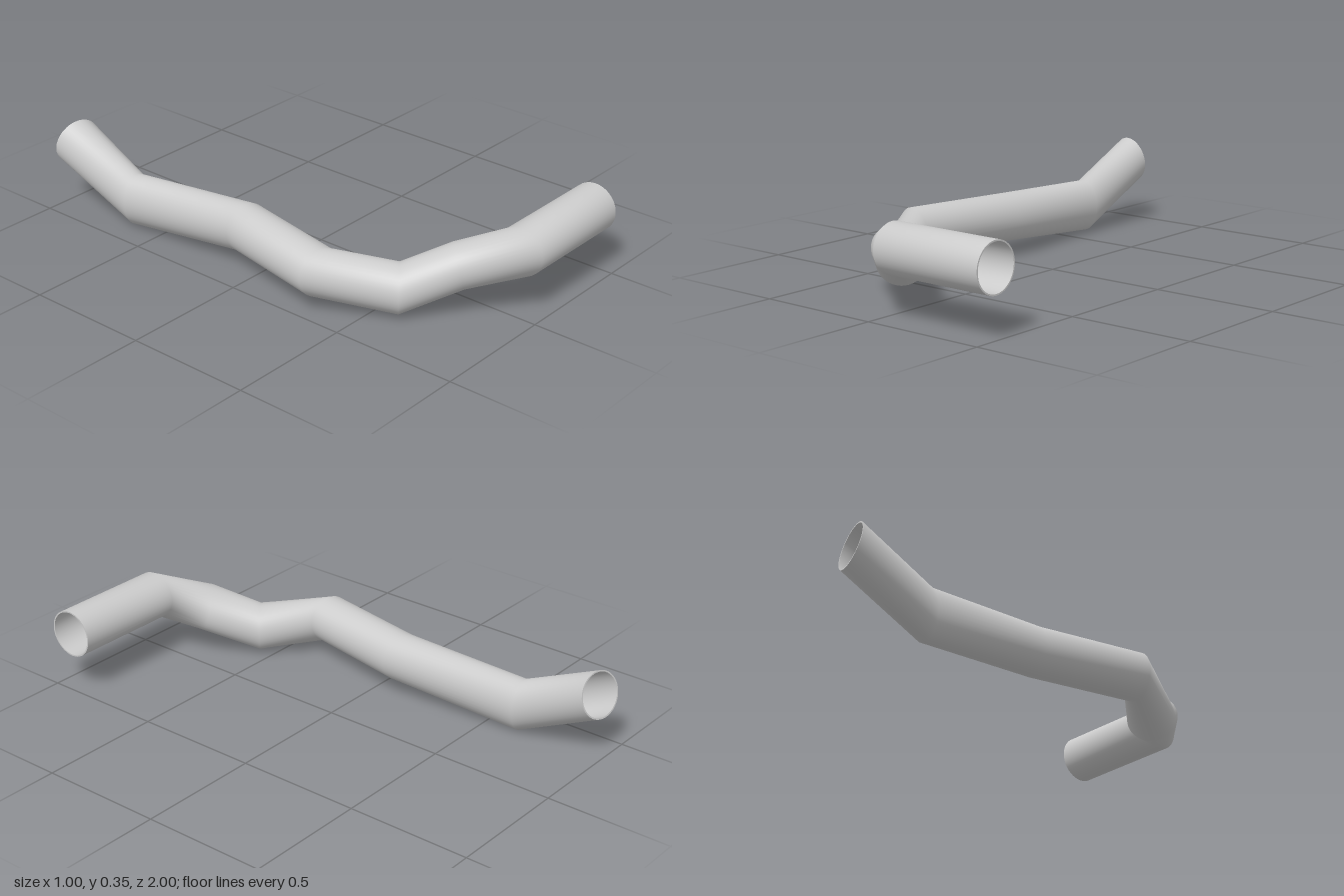
import * as THREE from 'three';

const SIDES = 40;
const V = (x, y, z) => new THREE.Vector3(x, y, z);

// Cross-sections along the pipe: centre, sideways half-axis, upward half-axis
const sections = [
  [V(-0.36, 0.26, -0.972), V(0.091, 0, 0.02), V(0, 0.092, 0.02)],
  [V(-0.358, 0.107, -0.64), V(0.0725, 0, 0), V(0, 0.106, 0)],
  [V(-0.319, 0.15, -0.095), V(0.0905, 0, 0.021), V(0, 0.096, 0)],
  [V(-0.408, 0.15, 0.342), V(0.091, 0, 0.019), V(0, 0.095, 0)],
  [V(-0.248, 0.103, 0.578), V(0.076, 0, -0.058), V(0, 0.095, 0)],
  [V(-0.108, 0.192, 0.735), V(0.072, 0, -0.065), V(-0.022, 0.088, -0.01)],
  [V(0.03, 0.25, 0.902), V(0, 0, -0.096), V(0, 0.095, 0)],
  [V(0.5, 0.25, 0.902), V(0, 0, -0.096), V(0, 0.095, 0)],
];

// Points of one cross-section, scaled about its centre
function ring([c, u, v], scale) {
  return Array.from({ length: SIDES }, (_, j) => {
    const t = (j / SIDES) * Math.PI * 2;
    return c.clone().addScaledVector(u, Math.cos(t) * scale).addScaledVector(v, Math.sin(t) * scale);
  });
}

// Smooth skin through a list of rings
function loft(rings) {
  const index = [];
  for (let i = 0; i < rings.length - 1; i++) {
    for (let j = 0; j < SIDES; j++) {
      const k = (j + 1) % SIDES;
      const a = i * SIDES + j, b = i * SIDES + k;
      index.push(a, b, a + SIDES, b, b + SIDES, a + SIDES);
    }
  }
  const g = new THREE.BufferGeometry().setFromPoints(rings.flat());
  g.setIndex(index);
  g.computeVertexNormals();
  return g;
}

export function createModel() {
  const group = new THREE.Group();
  group.name = 'bentPipe';
  const material = new THREE.MeshStandardMaterial({ color: 0xcccccc, side: THREE.DoubleSide });
  const add = (name, rings) => {
    const mesh = new THREE.Mesh(loft(rings), material);
    mesh.name = name;
    group.add(mesh);
  };

  // Outer and inner walls of the thin pipe
  const outer = sections.map((s) => ring(s, 1));
  const inner = sections.map((s) => ring(s, 0.94));
  add('outerWall', outer);
  add('innerWall', [...inner].reverse());

  // Rims closing the wall at the two open ends
  const last = sections.length - 1;
  add('backRim', [inner[0], outer[0]]);
  add('sideRim', [outer[last], inner[last]]);
  return group;
}
